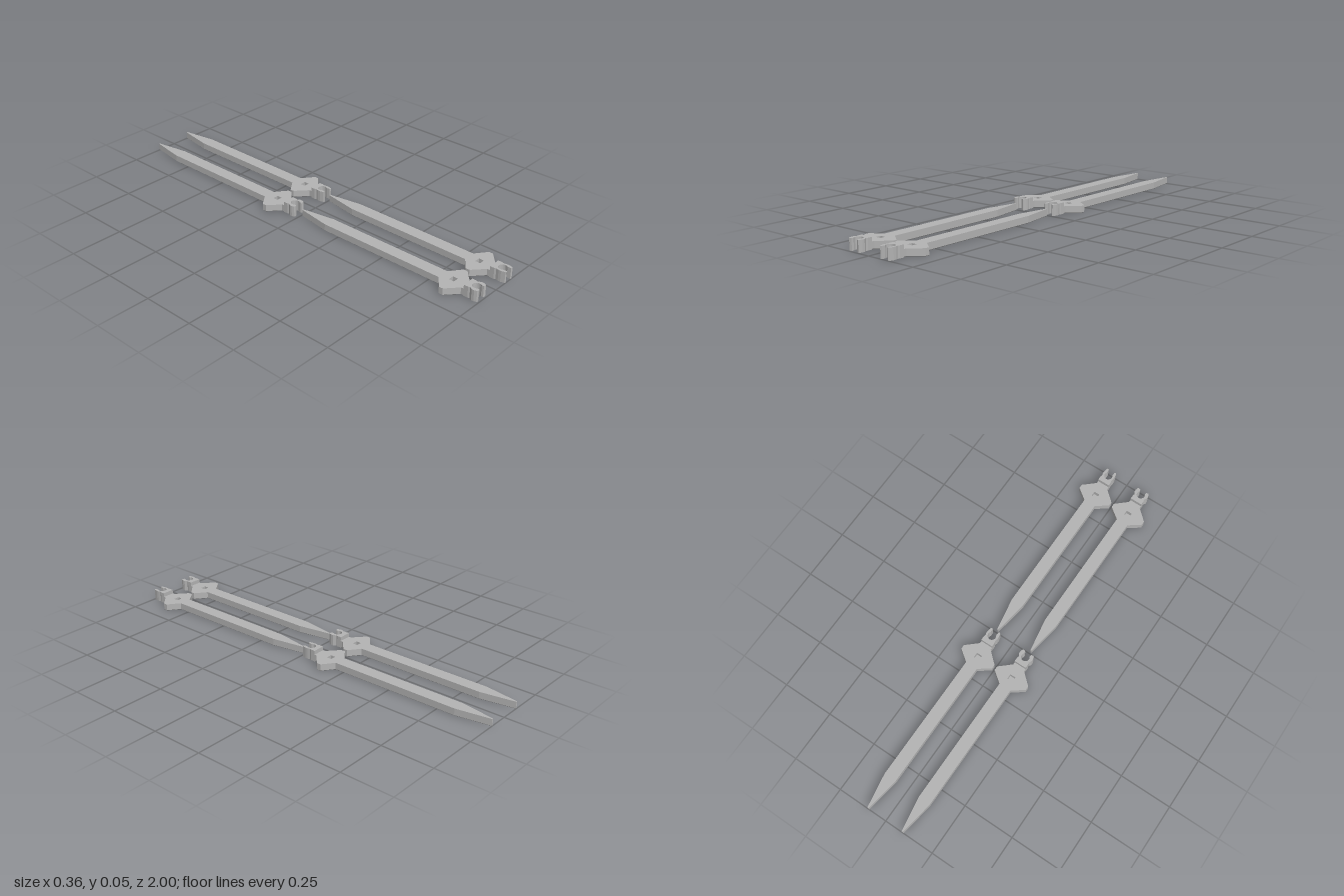
import * as THREE from 'three';

const grey = new THREE.MeshStandardMaterial({ color: 0xb3b3b3 });
grey.name = 'grey plastic';

// Mirrors a half outline (x >= 0, listed from back to front) into a closed shape in x, z
function mirrored(half) {
  const points = [...half, ...half.map(([x, z]) => [-x, z]).reverse()];
  return new THREE.Shape(points.map(([x, z]) => new THREE.Vector2(x, z)));
}

// Upright slab from y0 to y1, with an optional chamfer on its edges
function slab(name, shape, y0, y1, chamfer = 0) {
  const geometry = new THREE.ExtrudeGeometry(shape, {
    depth: y1 - y0 - 2 * chamfer, bevelEnabled: chamfer > 0, bevelSegments: 1,
    bevelThickness: chamfer, bevelSize: chamfer, bevelOffset: -chamfer,
  });
  geometry.rotateX(Math.PI / 2);
  geometry.translate(0, y1 - chamfer, 0);
  const mesh = new THREE.Mesh(geometry, grey);
  mesh.name = name;
  return mesh;
}

function stake(clipHalf, clipEnd) {
  const group = new THREE.Group();
  group.name = 'stake';

  // Pointed blade with a flared shoulder
  const blade = [
    [0.003, 0.007], [0.03, 0.17], [0.03, 0.8], [0.086, 0.842],
    [0.086, 0.862], [0.03, 0.912], [0.03, 0.93],
  ];
  const body = mirrored(blade);
  body.holes.push(new THREE.Path([
    [-0.014, 0.84], [-0.014, 0.865], [0.014, 0.865], [0.014, 0.84],
  ].map(([x, z]) => new THREE.Vector2(x, z))));
  group.add(slab('bladeBase', mirrored(blade), 0, 0.01, 0.003));
  group.add(slab('blade', body, 0.004, 0.034));

  // Raised clip with a round socket open to the front
  const clip = [
    [0.03, 0.924], [0.03, 0.945], [0.027, 0.953], [clipHalf, 0.966], [clipHalf, 0.978],
    [clipHalf - 0.004, clipEnd - 0.003], [clipHalf - 0.008, clipEnd], [0.016, clipEnd - 0.003],
  ];
  for (let i = 0; i <= 6; i++) {
    const a = 0.7 - (i / 6) * (0.7 + Math.PI / 2);
    clip.push([0.02 * Math.cos(a), 0.967 + 0.02 * Math.sin(a)]);
  }
  clip[clip.length - 1][0] = 0.001;
  group.add(slab('clip', mirrored(clip), 0, 0.053));
  return group;
}

export function createModel() {
  const model = new THREE.Group();
  model.name = 'stakes';
  // Two rows of two stakes; the clips on the right column are wider
  for (const shift of [0, -1.007]) {
    const left = stake(0.03, 1.0);
    left.position.set(0.092, 0, shift);
    const right = stake(0.035, 0.993);
    right.position.set(-0.094, 0, shift);
    model.add(left, right);
  }
  return model;
}
